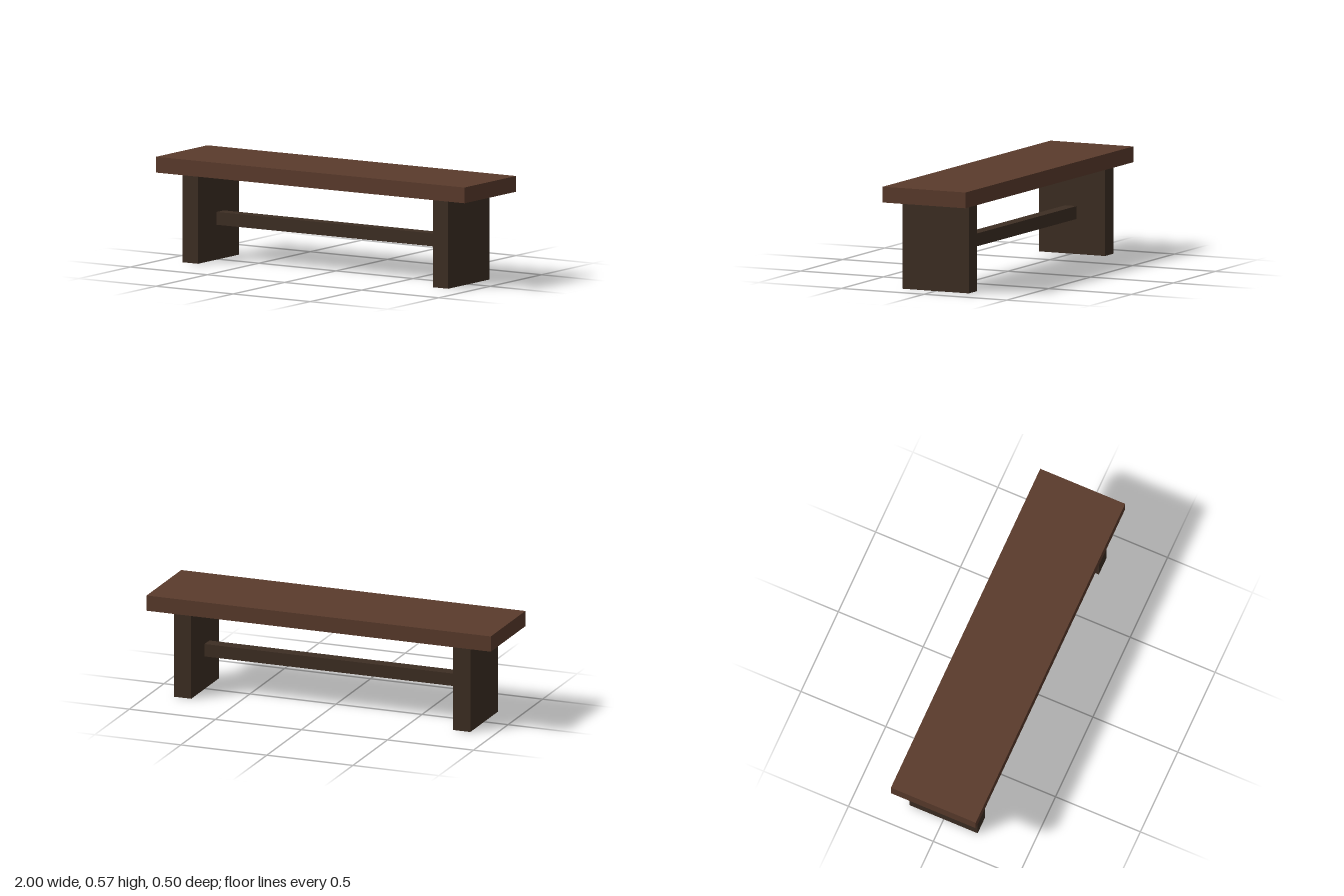
import * as THREE from 'three';

export function createModel() {
  const group = new THREE.Group();
  group.name = 'bench';

  const seatWood = new THREE.MeshStandardMaterial({ color: 0x5a3b2c });
  seatWood.name = 'reddish brown wood';
  const legWood = new THREE.MeshStandardMaterial({ color: 0x3d2e23 });
  legWood.name = 'dark brown wood';

  // Adds a box whose underside sits at the given height
  function addBoard(name, material, width, height, depth, x, bottom) {
    const board = new THREE.Mesh(new THREE.BoxGeometry(width, height, depth), material);
    board.name = name;
    board.position.set(x, bottom + height / 2, 0);
    group.add(board);
  }

  // Thick plank seat
  addBoard('seat', seatWood, 2, 0.086, 0.5, 0, 0.484);

  // Slab legs, one at each end
  for (const side of [-1, 1]) {
    addBoard(side > 0 ? 'leftLeg' : 'rightLeg', legWood, 0.1, 0.484, 0.4, side * 0.811, 0);
  }

  // Stretcher bar, stopping just short of the legs
  addBoard('stretcher', legWood, 1.5, 0.07, 0.07, 0, 0.193);

  return group;
}
